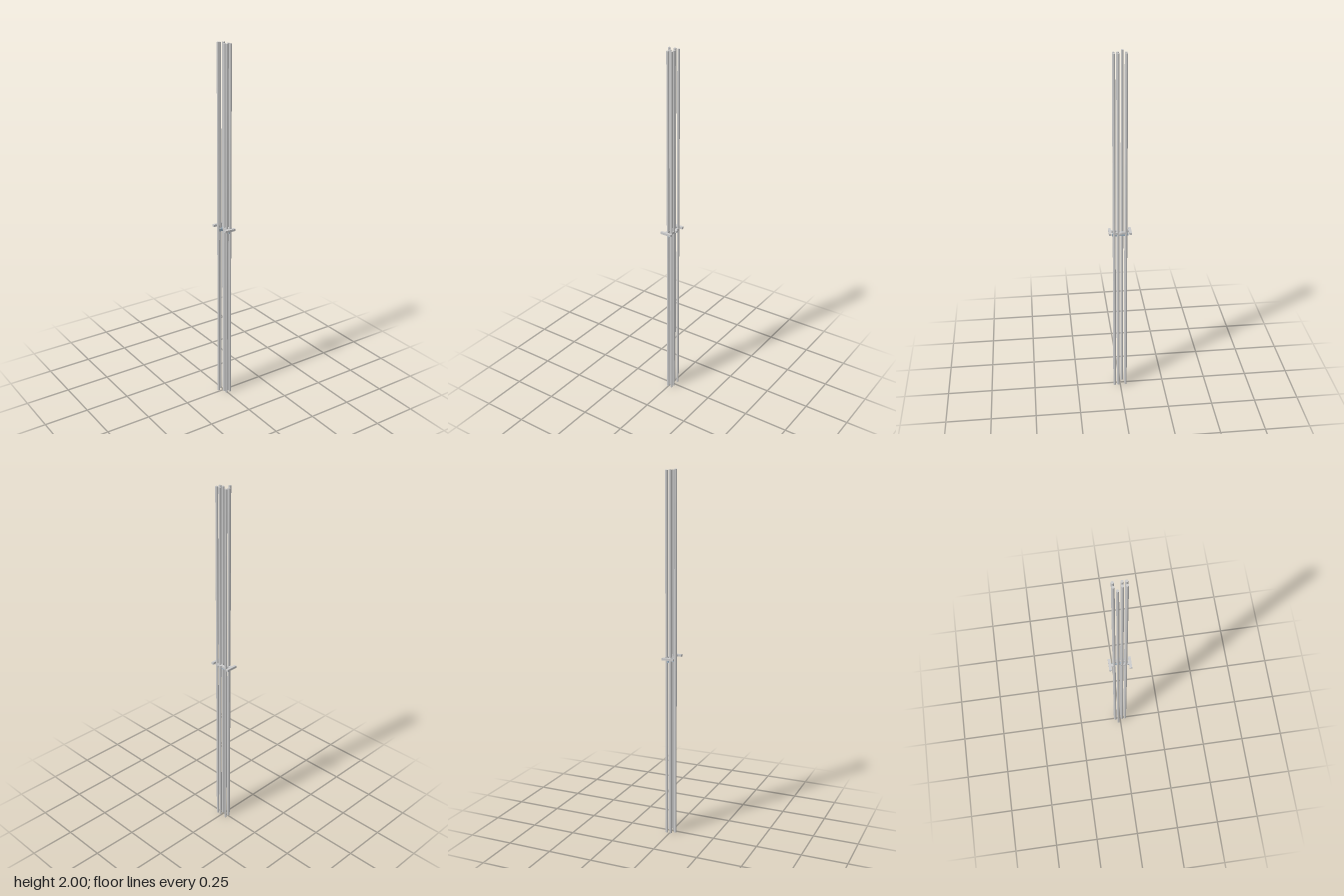
import * as THREE from 'three';

export function createModel() {
  const group = new THREE.Group();
  const grey = new THREE.MeshStandardMaterial({ color: 0xcccccc });
  const blue = new THREE.MeshStandardMaterial({ color: 0x9fb4c4 });

  // Upright rod of radius 0.007 between two heights
  const rodRadius = 0.007;
  function rod(name, x, z, y0, y1) {
    const mesh = new THREE.Mesh(new THREE.CylinderGeometry(rodRadius, rodRadius, y1 - y0, 16), grey);
    mesh.name = name;
    mesh.position.set(x, (y0 + y1) / 2, z);
    group.add(mesh);
  }

  // Flat bar given by its extents in x and z
  function bar(name, x0, x1, z0, z1, y, height, material = grey) {
    const mesh = new THREE.Mesh(new THREE.BoxGeometry(x1 - x0, height, z1 - z0), material);
    mesh.name = name;
    mesh.position.set((x0 + x1) / 2, y, (z0 + z1) / 2);
    group.add(mesh);
  }

  // Two rows of three rods, plus one slightly taller rod on the right
  for (const x of [-0.004, 0.018]) {
    for (const z of [-0.031, 0.011, 0.032]) rod('rod', x, z, 0, 1.995);
  }
  rod('tallRod', -0.026, -0.014, 0, 2);

  // T-shaped grey clamps at mid height
  const clampY = 1.01, clampH = 0.012;
  bar('backCrossbar', -0.033, 0.033, -0.062, -0.048, clampY, clampH);
  bar('backStem', -0.011, 0.003, -0.048, -0.025, clampY, clampH);
  bar('frontCrossbar', -0.033, 0.033, 0.048, 0.062, clampY, clampH);
  bar('frontStem', -0.011, 0.003, 0.004, 0.048, clampY, clampH);
  bar('leftBar', 0.011, 0.025, -0.036, 0.038, clampY, clampH);
  bar('leftTab', 0.025, 0.033, -0.006, 0.007, clampY, clampH);

  // Blue spacer between the rows, with an arm to the tall rod
  bar('spacer', 0.003, 0.011, -0.044, 0.044, 0.995, 0.014, blue);
  bar('spacerArm', -0.021, 0.003, -0.017, -0.011, 0.995, 0.014, blue);

  return group;
}
